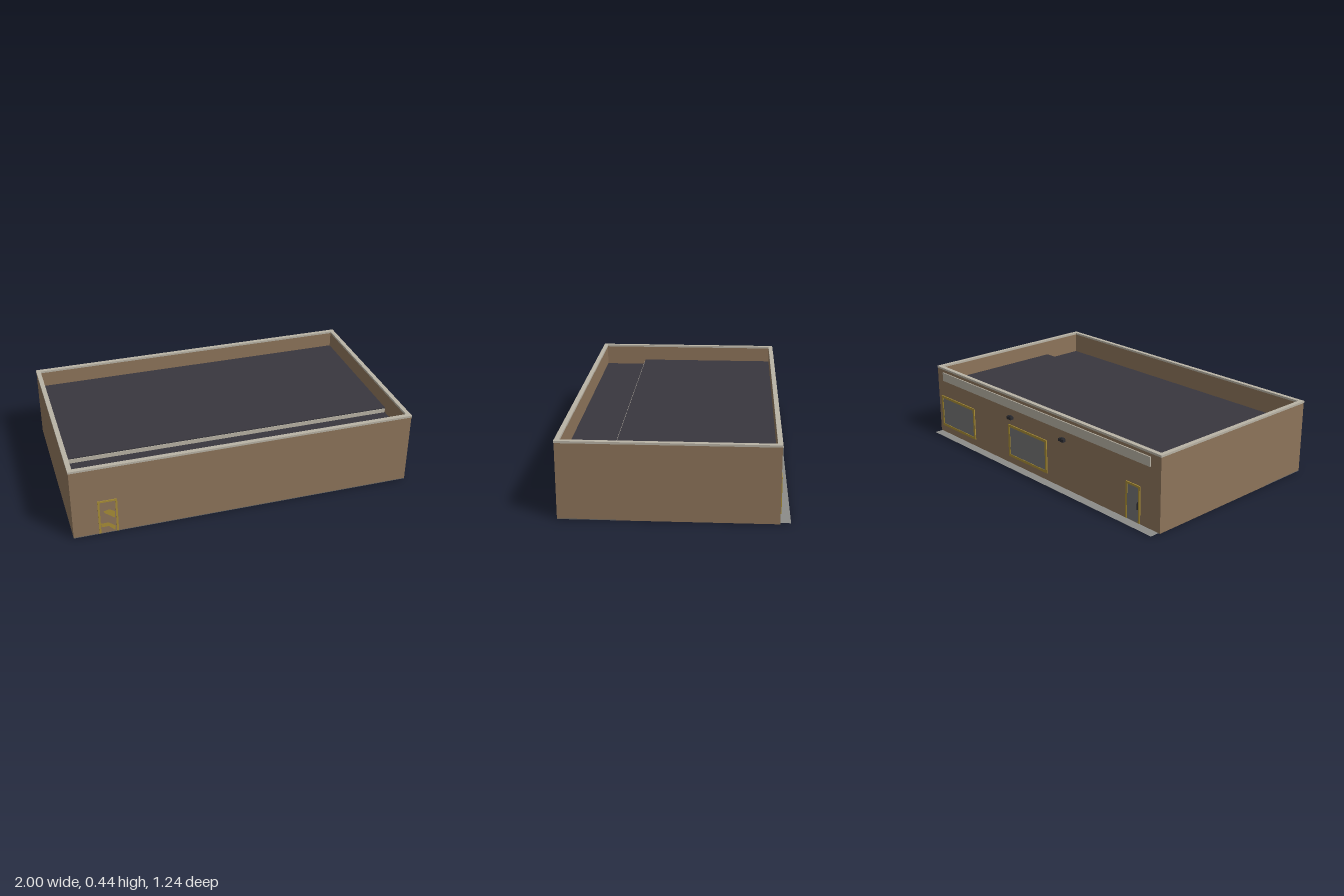
import * as THREE from 'three';

const mat = (name, color, side = THREE.FrontSide) =>
  Object.assign(new THREE.MeshStandardMaterial({ color, side }), { name });

export function createModel() {
  const wall = mat('tan wall', 0x8d745a);
  const trim = mat('pale trim', 0xb9b3a5);
  const roof = mat('dark roofing', 0x39373e);
  const gold = mat('gold frame', 0xa88d36);
  const glass = mat('grey glass', 0x757574);
  const paving = mat('grey paving', 0x8c8c88, THREE.DoubleSide);
  const slab = mat('dark slab', 0x686868);
  const black = mat('black metal', 0x2b2b30);

  const BACK = -0.565, FRONT = 0.615, STEP = 0.325;
  const model = new THREE.Group();
  model.name = 'commercialBuilding';

  const add = (name, geometry, material, parent = model) => {
    const mesh = new THREE.Mesh(geometry, material);
    mesh.name = name;
    parent.add(mesh);
    return mesh;
  };
  // Box given by its lower and upper bounds on each axis
  const box = (name, material, [x0, x1], [y0, y1], [z0, z1], parent) => {
    const g = new THREE.BoxGeometry(x1 - x0, y1 - y0, z1 - z0);
    g.translate((x0 + x1) / 2, (y0 + y1) / 2, (z0 + z1) / 2);
    return add(name, g, material, parent);
  };
  const rect = (Type, x0, x1, y0, y1) => new Type([
    new THREE.Vector2(x0, y0), new THREE.Vector2(x1, y0),
    new THREE.Vector2(x1, y1), new THREE.Vector2(x0, y1),
  ]);
  // Rectangular ring around the whole building
  const ring = (name, material, inset, width, y0, y1) => {
    const s = rect(THREE.Shape, -1 + inset, 1 - inset, -FRONT + inset, -BACK - inset);
    const i = inset + width;
    s.holes.push(rect(THREE.Path, -1 + i, 1 - i, -FRONT + i, -BACK - i));
    const g = new THREE.ExtrudeGeometry(s, { depth: y1 - y0, bevelEnabled: false });
    g.rotateX(-Math.PI / 2).translate(0, y0, 0);
    add(name, g, material);
  };

  // Shell, coping and base
  ring('outerWalls', wall, 0.002, 0.022, 0.004, 0.43);
  ring('parapetCap', trim, 0, 0.026, 0.428, 0.44);
  box('mainFloor', wall, [-0.998, 0.998], [0, 0.004], [BACK + 0.002, 0.30]);
  box('frontFloor', slab, [-0.998, 0.998], [0, 0.004], [0.30, FRONT - 0.002]);

  // Two-level roof with a pale fascia at the step
  box('mainRoof', roof, [-0.977, 0.977], [0.31, 0.335], [BACK + 0.023, STEP]);
  box('lowerRoof', roof, [-0.977, 0.977], [0.29, 0.304], [STEP, FRONT - 0.023]);
  box('roofStepFascia', trim, [-0.975, 0.975], [0.304, 0.329], [STEP, STEP + 0.004]);

  // Pavement strip along the back
  const walk = add('pavement', new THREE.PlaneGeometry(1.975, 0.055), paving);
  walk.rotation.x = -Math.PI / 2;
  walk.position.set(-0.002, 0.002, -0.5925);

  // Sign band on the back wall
  box('signBand', trim, [-0.925, 0.935], [0.355, 0.41], [BACK - 0.005, BACK + 0.003]);

  // Framed opening: picture frame of bars around a pane, on a wall plane z
  const opening = (name, x0, x1, y0, y1, z, bar, pane, hasSill) => {
    const group = new THREE.Group();
    group.name = name;
    model.add(group);
    const zs = [z - 0.005, z + 0.005];
    box('leftJamb', gold, [x1 - bar, x1], [y0, y1], zs, group);
    box('rightJamb', gold, [x0, x0 + bar], [y0, y1], zs, group);
    box('head', gold, [x0 + bar, x1 - bar], [y1 - bar, y1], zs, group);
    if (hasSill) box('sill', gold, [x0 + bar, x1 - bar], [y0, y0 + bar], zs, group);
    box('pane', pane, [x0 + bar, x1 - bar], [y0 + (hasSill ? bar : 0), y1 - bar],
      [z - 0.002, z + 0.002], group);
    return group;
  };
  const backZ = BACK + 0.001, frontZ = FRONT - 0.003;
  opening('sideWindow', 0.61, 0.965, 0.045, 0.25, backZ, 0.015, glass, true);
  opening('middleWindow', -0.092, 0.265, 0.045, 0.25, backZ, 0.015, glass, true);

  // Glazed back door with its handle
  const backDoor = opening('backDoor', -0.853, -0.745, 0.004, 0.22, backZ, 0.012, glass, false);
  box('handle', black, [-0.838, -0.833], [0.08, 0.125], [backZ - 0.006, backZ], backDoor);

  // Front door with gold inlays
  const frontDoor = opening('frontDoor', -0.855, -0.745, 0.004, 0.22, frontZ, 0.011, wall, false);
  const inlays = [
    [[-0.826, 0.15], [-0.815, 0.135], [-0.764, 0.096], [-0.762, 0.14], [-0.79, 0.158]],
    [[-0.842, 0.045], [-0.80, 0.045], [-0.764, 0.01], [-0.762, 0.04], [-0.80, 0.07], [-0.842, 0.07]],
  ];
  for (const points of inlays) {
    const shape = new THREE.Shape(points.map(([x, y]) => new THREE.Vector2(x, y)));
    add('doorInlay', new THREE.ShapeGeometry(shape), gold, frontDoor).position.z = frontZ + 0.004;
  }

  // Wall lamps on the back
  for (const x of [-0.24, 0.235]) {
    const lamp = new THREE.Group();
    lamp.name = 'wallLamp';
    model.add(lamp);
    box('lampBody', black, [x - 0.021, x + 0.021], [0.292, 0.308], [BACK - 0.02, BACK], lamp);
    box('lampHood', black, [x - 0.014, x + 0.014], [0.288, 0.312], [BACK - 0.016, BACK], lamp);
  }
  return model;
}
